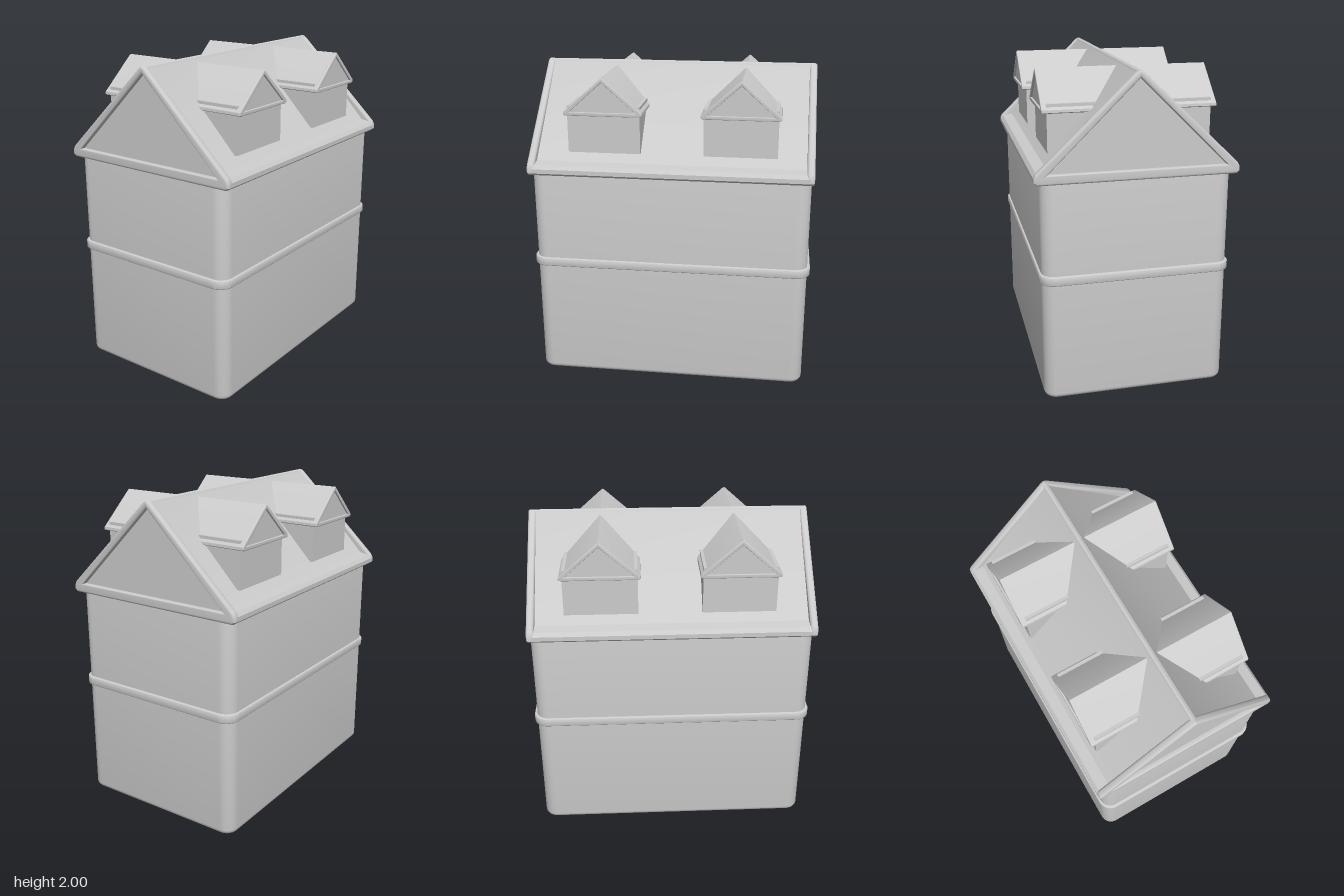
import * as THREE from 'three';
import { toCreasedNormals } from 'three/addons/utils/BufferGeometryUtils.js';

const material = new THREE.MeshStandardMaterial({ color: 0xcccccc });

function addMesh(parent, name, geometry) {
  const mesh = new THREE.Mesh(toCreasedNormals(geometry, 0.6), material);
  mesh.name = name;
  parent.add(mesh);
  return mesh;
}

// Upright slab with rounded vertical corners and softened top and bottom rims
function roundedSlab(halfX, halfZ, y0, y1, radius, bevel) {
  const x = halfX - bevel, z = halfZ - bevel, r = radius - bevel;
  const s = new THREE.Shape();
  s.absarc(x - r, z - r, r, 0, Math.PI / 2);
  s.absarc(-x + r, z - r, r, Math.PI / 2, Math.PI);
  s.absarc(-x + r, -z + r, r, Math.PI, Math.PI * 1.5);
  s.absarc(x - r, -z + r, r, Math.PI * 1.5, Math.PI * 2);
  s.closePath();
  const g = new THREE.ExtrudeGeometry(s, {
    depth: y1 - y0 - 2 * bevel, bevelEnabled: true, bevelSize: bevel,
    bevelThickness: bevel, bevelSegments: 5, curveSegments: 8,
  });
  return g.rotateX(-Math.PI / 2).translate(0, y0 + bevel, 0);
}

const toPoints = (half) => [
  ...half.map(([w, y]) => new THREE.Vector2(w, y)),
  ...half.slice().reverse().filter(([w]) => w > 0).map(([w, y]) => new THREE.Vector2(-w, y)),
];

// Mirrored half profile (bottom to apex) extruded between two depths
function gablePrism(half, z0, z1, hole, bevel = 0) {
  const s = new THREE.Shape(toPoints(half));
  if (hole) s.holes.push(new THREE.Path(toPoints(hole).reverse()));
  const g = new THREE.ExtrudeGeometry(s, {
    depth: z1 - z0 - 2 * bevel, bevelEnabled: bevel > 0, bevelSize: bevel,
    bevelOffset: -bevel, bevelThickness: bevel, bevelSegments: 3,
  });
  return g.translate(0, 0, z0 + bevel);
}

function createDormer(x) {
  const dormer = new THREE.Group();
  dormer.name = 'dormerPair';
  dormer.position.x = x;
  // Walls and roof run through the main roof, giving a dormer on each slope
  const walls = new THREE.BoxGeometry(0.45, 0.29, 0.995);
  addMesh(dormer, 'dormerWalls', walls.translate(0, 1.645, 0));
  const outer = [[0.228, 1.735], [0.243, 1.742], [0.241, 1.758], [0.008, 1.963], [0, 1.967]];
  addMesh(dormer, 'dormerRoof', gablePrism(outer, -0.517, 0.517));
  // Thin raised frame round each dormer gable
  const opening = [[0.205, 1.757], [0, 1.94]];
  for (const side of [-1, 1]) {
    const frame = addMesh(dormer, 'dormerGableFrame', gablePrism(outer, 0.505, 0.529, opening, 0.004));
    if (side < 0) frame.rotation.y = Math.PI;
  }
  return dormer;
}

export function createModel() {
  const model = new THREE.Group();
  model.name = 'house';

  // Walls and the band between the storeys
  addMesh(model, 'walls', roundedSlab(0.866, 0.573, 0, 1.42, 0.08, 0.035));
  addMesh(model, 'storeyBand', roundedSlab(0.884, 0.586, 0.755, 0.812, 0.09, 0.01));

  // Main roof: slightly sunken slopes, a flared eave and a raised ridge
  const roof = new THREE.Group();
  roof.name = 'mainRoof';
  roof.rotation.y = Math.PI / 2;
  model.add(roof);
  const core = [[0.595, 1.37], [0.613, 1.385], [0.613, 1.412], [0.595, 1.435],
    [0.53, 1.448], [0.022, 1.978], [0.014, 1.993], [0, 2]];
  addMesh(roof, 'roofSlopes', gablePrism(core, -0.85, 0.85));

  // Raised verge frame at each gable end
  const verge = [[0.595, 1.37], [0.613, 1.385], [0.613, 1.415], [0.6, 1.44],
    [0.022, 1.988], [0, 2]];
  const gable = [[0.535, 1.43], [0, 1.955]];
  for (const side of [-1, 1]) {
    const frame = addMesh(roof, 'gableVerge', gablePrism(verge, 0.832, 0.879, gable, 0.014));
    if (side < 0) frame.rotation.y = Math.PI;
  }

  for (const x of [-0.41, 0.43]) model.add(createDormer(x));
  return model;
}
